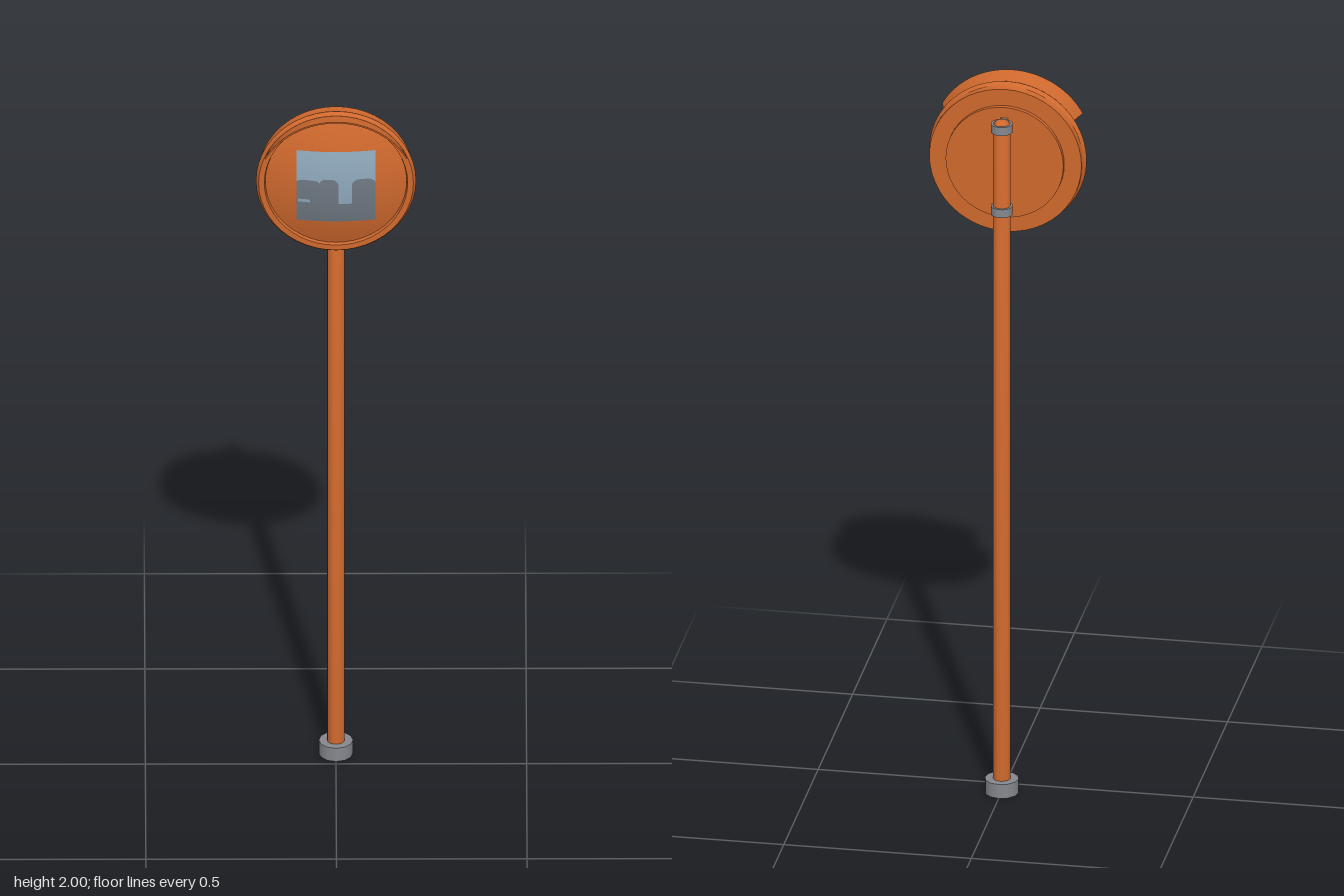
import * as THREE from 'three';
import { toCreasedNormals } from 'three/addons/utils/BufferGeometryUtils.js';

const HEAD_Y = 1.785, POLE_Z = -0.057;

function material(name, color, side = THREE.FrontSide) {
  const m = new THREE.MeshStandardMaterial({ color, side });
  m.name = name;
  return m;
}

// Height of the convex mirror face at distance r from its centre
const domeZ = (r) => 0.07 - 0.034 * (r / 0.185) ** 2;

export function createModel() {
  const orange = material('orange paint', 0xd0692e);
  const orangeSheet = material('orange sheet', 0xd0692e, THREE.DoubleSide);
  const steel = material('grey steel', 0x85888e);
  const sky = material('reflected sky', 0x8fa9bc, THREE.DoubleSide);
  const ground = material('reflected buildings', 0x6f7983, THREE.DoubleSide);

  const model = new THREE.Group();
  model.name = 'roadMirror';
  const add = (parent, name, geometry, mat, x = 0, y = 0, z = 0) => {
    const mesh = new THREE.Mesh(geometry, mat);
    mesh.name = name;
    mesh.position.set(x, y, z);
    parent.add(mesh);
    return mesh;
  };
  const lathe = (points, segments) => toCreasedNormals(
    new THREE.LatheGeometry(points.map(([r, h]) => new THREE.Vector2(r, h)), segments), 0.6);

  // Post with rounded cap, and foot collar
  const post = [[0, 0.02], [0.023, 0.02], [0.023, 1.903]];
  for (let i = 1; i <= 6; i++) {
    const a = (i / 6) * Math.PI / 2;
    post.push([0.023 * Math.cos(a), 1.903 + 0.022 * Math.sin(a)]);
  }
  add(model, 'post', lathe(post, 20), orange, 0, 0, POLE_Z);
  add(model, 'footCollar', new THREE.CylinderGeometry(0.045, 0.045, 0.04, 12), steel, 0, 0.02, POLE_Z);

  // Clamps joining the post to the mirror back
  for (const y of [1.902, 1.667]) {
    const clamp = new THREE.Group();
    clamp.name = 'clamp';
    clamp.position.set(0, y, POLE_Z);
    add(clamp, 'clampRing', lathe([[0.022, -0.012], [0.029, -0.012], [0.029, 0.012], [0.022, 0.012]], 20), steel);
    add(clamp, 'clampArm', new THREE.BoxGeometry(0.02, 0.02, 0.025), steel, 0, 0, 0.036);
    model.add(clamp);
  }

  const head = new THREE.Group();
  head.name = 'mirrorHead';
  head.position.y = HEAD_Y;
  model.add(head);

  // Stepped housing with a rounded rim
  const housing = add(head, 'housing', lathe([
    [0, -0.017], [0.157, -0.017], [0.157, -0.004], [0.203, -0.004], [0.203, 0.022],
    [0.208, 0.029], [0.21, 0.034], [0.208, 0.039], [0.203, 0.046],
    [0.188, 0.046], [0.185, 0.034],
  ], 48), orange);
  housing.rotation.x = Math.PI / 2;

  // Convex mirror face
  const dome = [];
  for (let i = 0; i <= 14; i++) {
    const r = 0.186 * (1 - i / 14);
    dome.push([r, domeZ(r)]);
  }
  add(head, 'mirrorFace', lathe(dome, 48), orange).rotation.x = Math.PI / 2;

  // Thin reflection panels draped over the face; round bows the upper corners down
  const panel = (name, mat, x0, x1, y0, y1, lift, round = 0) => {
    const g = new THREE.PlaneGeometry(1, 1, 14, 14);
    const p = g.attributes.position;
    for (let i = 0; i < p.count; i++) {
      const u = p.getX(i) + 0.5, v = p.getY(i) + 0.5;
      const x = x0 + (x1 - x0) * u;
      const top = y1 - round * Math.abs(2 * u - 1) ** 4;
      const y = y0 + (top - y0) * v;
      p.setXYZ(i, x, y, domeZ(Math.hypot(x, y)) + lift);
    }
    g.computeVertexNormals();
    add(head, name, g, mat);
  };
  panel('skyReflection', sky, -0.104, 0.104, -0.108, 0.102, 0.0012);
  panel('groundReflection', ground, -0.104, 0.104, -0.108, -0.05, 0.0022);
  panel('leftBuildingReflection', ground, 0.042, 0.104, -0.05, 0.024, 0.0022, 0.012);
  panel('rightBuildingReflection', ground, -0.104, -0.045, -0.05, 0.02, 0.0022, 0.006);
  panel('middleBuildingReflection', ground, -0.045, 0.006, -0.05, 0.024, 0.0022, 0.014);
  panel('streetGlint', sky, -0.1, -0.068, -0.047, -0.038, 0.003);

  // Flared visor with level lower edges
  const visor = (inset) => {
    const g = new THREE.PlaneGeometry(1, 1, 40, 2);
    const p = g.attributes.position;
    for (let i = 0; i < p.count; i++) {
      const t = p.getY(i) + 0.5;
      const r = 0.2 + 0.015 * t - inset;
      const end = Math.asin(0.105 / r);
      const a = end + (Math.PI - 2 * end) * (0.5 - p.getX(i));
      p.setXYZ(i, r * Math.cos(a), r * Math.sin(a), 0.036 + 0.064 * t);
    }
    g.computeVertexNormals();
    return g;
  };
  add(head, 'visorOuter', visor(0), orangeSheet);
  add(head, 'visorInner', visor(0.004), orangeSheet);

  // Front lip closing the two visor skins
  const lipEnd = Math.asin(0.105 / 0.215);
  add(head, 'visorLip', new THREE.RingGeometry(0.211, 0.215, 40, 1, lipEnd, Math.PI - 2 * lipEnd),
    orangeSheet, 0, 0, 0.1);

  return model;
}
